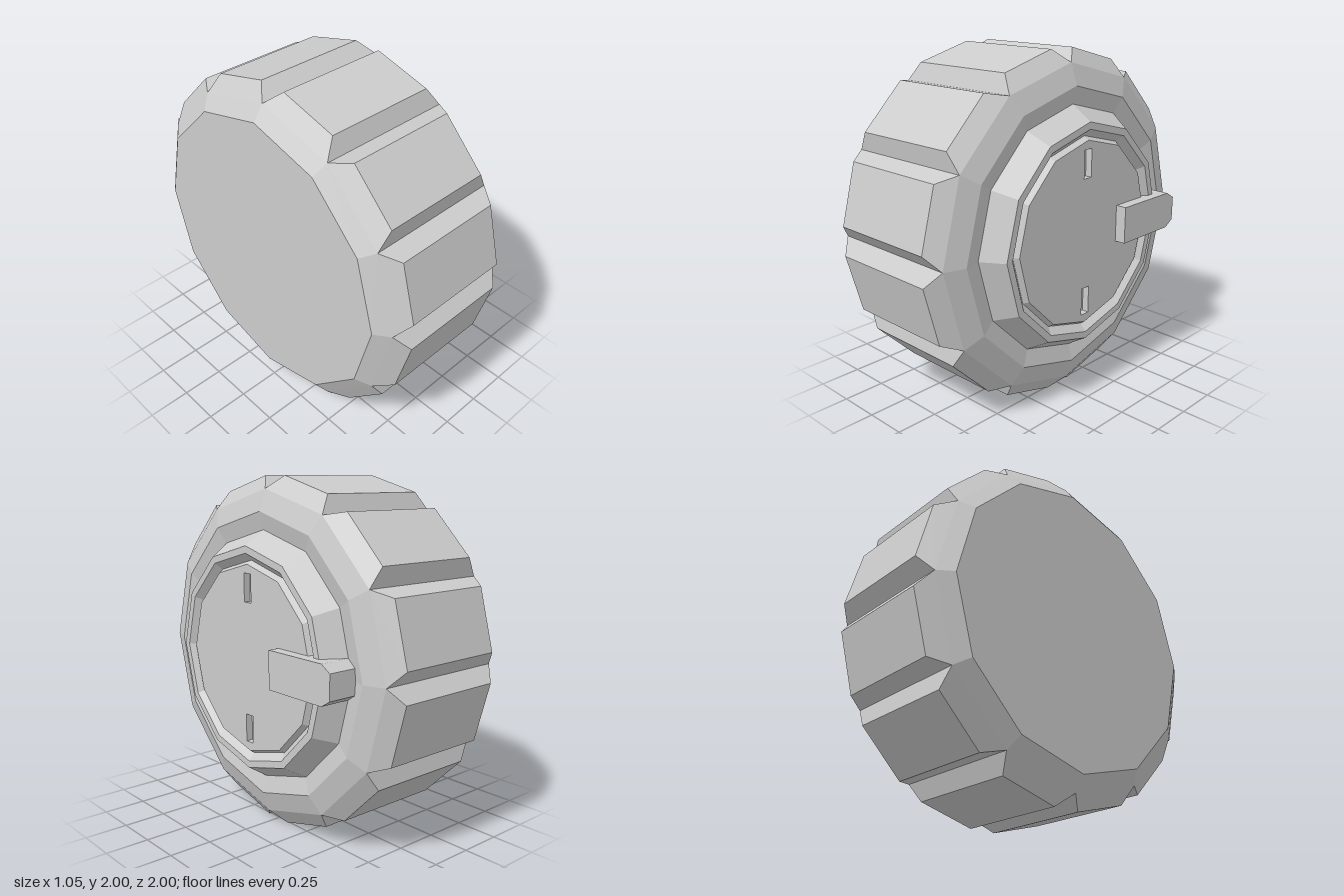
import * as THREE from 'three';

const SIDES = 12;
const STEP = (Math.PI * 2) / SIDES;

export function createModel() {
  const group = new THREE.Group();
  const wheel = new THREE.Group();
  wheel.name = 'wheel';
  wheel.position.y = 1; // axle runs along x
  group.add(wheel);

  const material = new THREE.MeshStandardMaterial({ color: 0xcccccc, flatShading: true });
  const add = (name, geometry) => {
    const mesh = new THREE.Mesh(geometry, material);
    mesh.name = name;
    wheel.add(mesh);
    return mesh;
  };

  // Turned part: [radius, x] profile around the axle
  const turned = (name, profile) => {
    const geometry = new THREE.LatheGeometry(profile.map(([r, x]) => new THREE.Vector2(r, x)), SIDES);
    return add(name, geometry.rotateZ(-Math.PI / 2));
  };

  // Plate outlined in (-z, y) and extruded along x
  const plate = (name, shape, x0, x1) => {
    const geometry = new THREE.ExtrudeGeometry(shape, { depth: x1 - x0, bevelEnabled: false });
    return add(name, geometry.rotateY(Math.PI / 2).translate(x0, 0, 0));
  };
  const points = (list) => list.map(([x, y]) => new THREE.Vector2(x, y));

  // Tyre with closed back and a shallow dished side wall
  turned('tyre', [
    [0, -0.53], [0.845, -0.53], [0.93, -0.47], [0.93, 0.33], [0.81, 0.37], [0.71, 0.345],
  ]);

  // Raised hub ring, groove and the floor below the face plate
  turned('hub', [
    [0.71, 0.345], [0.63, 0.47], [0.59, 0.47], [0.55, 0.43],
    [0.53, 0.46], [0.53, 0.42], [0, 0.42],
  ]);

  // Tread blocks: tapered boxes with V notches between them
  const inner = 0.93, outer = 1.0035, notch = 0.0838;
  const block = new THREE.BoxGeometry(1, 1, 1);
  const p = block.attributes.position;
  for (let i = 0; i < p.count; i++) {
    const top = p.getY(i) > 0;
    const r = top ? outer : inner;
    const a = STEP / 2 - (top ? notch : 0);
    const x = p.getX(i) > 0 ? (top ? 0.26 : 0.33) : (top ? -0.4 : -0.47);
    p.setXYZ(i, x, r * Math.cos(a), Math.sign(p.getZ(i)) * r * Math.sin(a));
  }
  block.computeVertexNormals();
  for (let i = 0; i < SIDES; i++) {
    add('treadBlock', block).rotation.x = (i + 0.5) * STEP;
  }

  // Hub face plate with two slots
  const face = new THREE.Shape(points(Array.from({ length: SIDES }, (_, i) =>
    [0.53 * Math.cos(i * STEP), 0.53 * Math.sin(i * STEP)])));
  for (const y of [-0.4, 0.4]) {
    face.holes.push(new THREE.Path(points([
      [-0.03, y - 0.08], [-0.03, y + 0.08], [0.03, y + 0.08], [0.03, y - 0.08],
    ])));
  }
  plate('facePlate', face, 0.42, 0.46);

  // Latch reaching over the hub rim, with clipped outer corners
  const latch = new THREE.Shape(points([
    [0.265, -0.108], [0.68, -0.108], [0.742, -0.07],
    [0.742, 0.07], [0.68, 0.108], [0.265, 0.108],
  ]));
  plate('latch', latch, 0.34, 0.525);

  return group;
}
